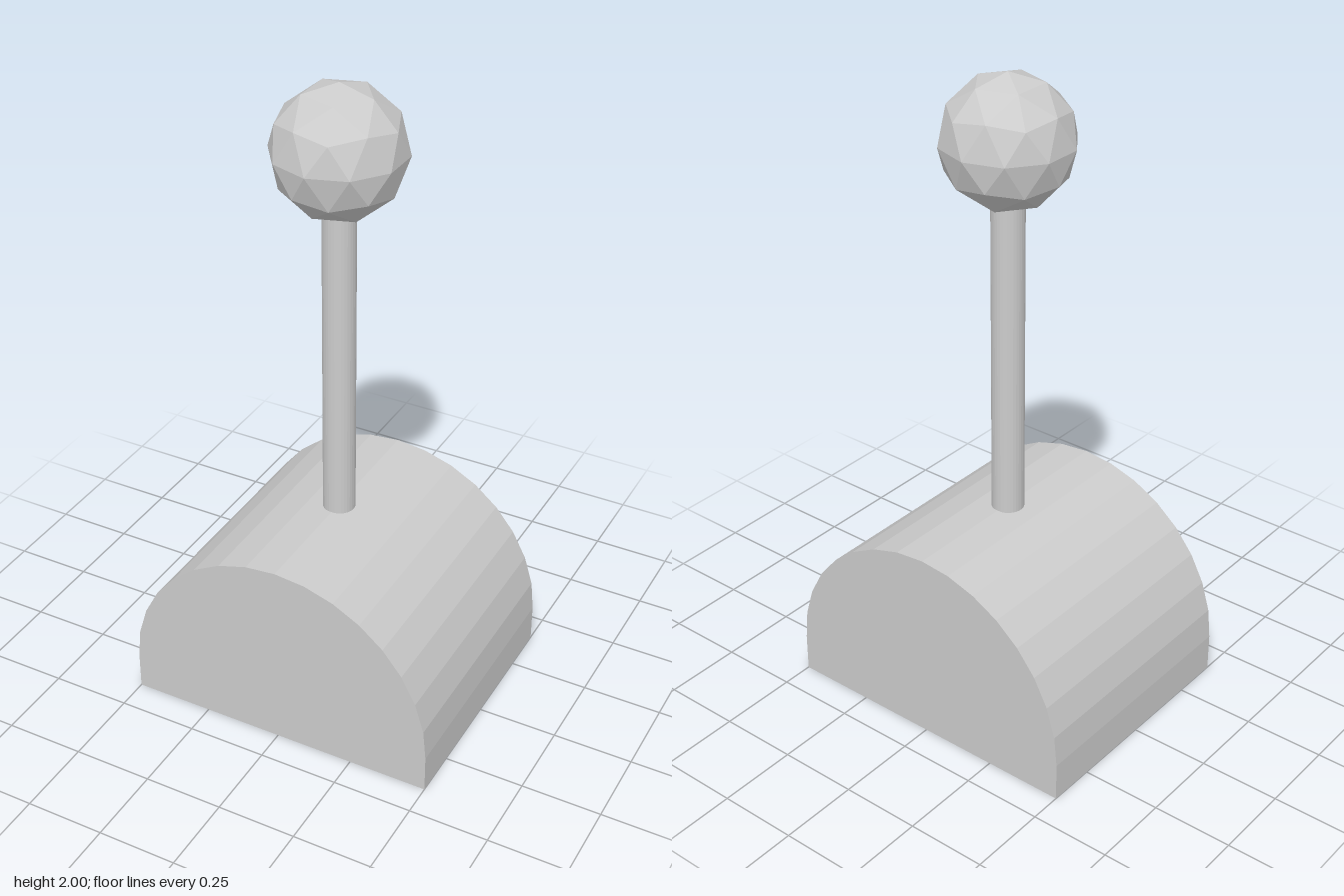
import * as THREE from 'three';

export function createModel() {
  const group = new THREE.Group();
  const material = new THREE.MeshStandardMaterial({ color: 0xcccccc, flatShading: true });
  const add = (name, geometry, y = 0) => {
    const mesh = new THREE.Mesh(geometry, material);
    mesh.name = name;
    mesh.position.y = y;
    group.add(mesh);
    return mesh;
  };

  // Arched base: half circle on short vertical walls, extruded front to back
  const radius = 0.5, wall = 0.122, depth = 0.8, steps = 16;
  const profile = new THREE.Shape();
  profile.moveTo(-radius, 0);
  profile.lineTo(radius, 0);
  for (let i = 0; i <= steps; i++) {
    const a = (i / steps) * Math.PI;
    profile.lineTo(radius * Math.cos(a), wall + radius * Math.sin(a));
  }
  profile.closePath();
  const base = new THREE.ExtrudeGeometry(profile, { depth, bevelEnabled: false });
  base.translate(0, 0, -depth / 2);
  add('archedBase', base);

  // Upright rod from the crown of the base into the ball
  add('rod', new THREE.CylinderGeometry(0.05, 0.05, 1, 32), 1.12);

  // Faceted ball, turned so that one corner points straight up
  const ball = new THREE.IcosahedronGeometry(0.2, 1);
  ball.rotateZ(-Math.atan(2 / (1 + Math.sqrt(5))));
  add('ball', ball, 1.8);

  return group;
}
